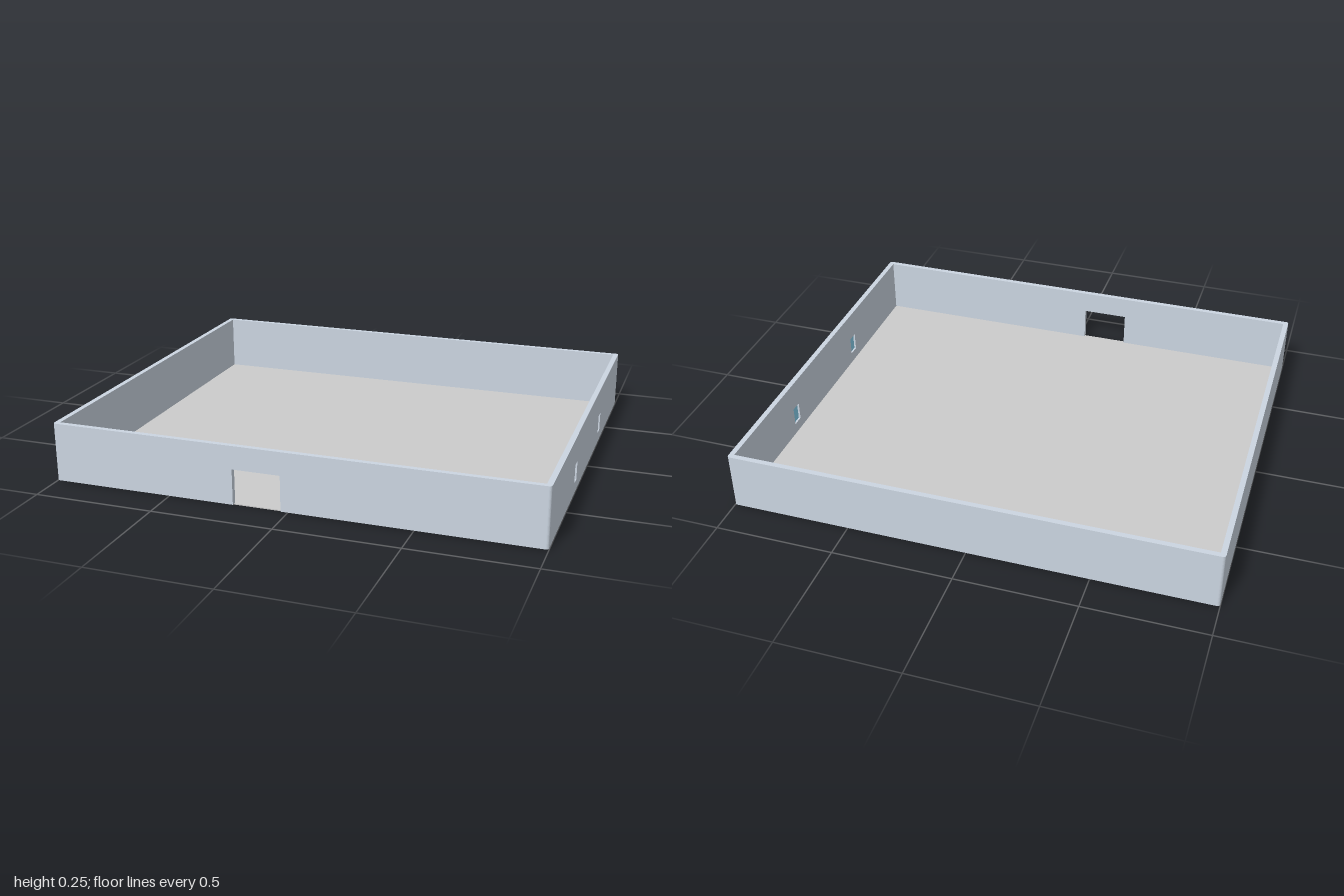
import * as THREE from 'three';

const W = 1, D = 0.85;          // outer half extents
const T = 0.022;                // wall thickness
const BASE = 0.003, TOP = 0.246; // wall bottom and top

const wallMat = new THREE.MeshStandardMaterial({ color: 0xcbd5e1 });
const floorMat = new THREE.MeshStandardMaterial({ color: 0xcccccc });
const glassMat = new THREE.MeshStandardMaterial({ color: 0x87ceeb });

function add(parent, name, geometry, material, x = 0, y = 0, z = 0) {
  const mesh = new THREE.Mesh(geometry, material);
  mesh.name = name;
  mesh.position.set(x, y, z);
  parent.add(mesh);
  return mesh;
}

// Upright wall panel centred on its thickness, with an optional doorway and window holes
function panel(length, door, windows = []) {
  const h = length / 2;
  const pts = [[-h, BASE]];
  if (door) pts.push([door.x0, BASE], [door.x0, door.top], [door.x1, door.top], [door.x1, BASE]);
  pts.push([h, BASE], [h, TOP], [-h, TOP]);
  const shape = new THREE.Shape(pts.map(p => new THREE.Vector2(...p)));
  for (const w of windows) {
    const a = w.x - w.w / 2, b = w.x + w.w / 2, c = w.y - w.h / 2, d = w.y + w.h / 2;
    shape.holes.push(new THREE.Path([[a, c], [a, d], [b, d], [b, c]].map(p => new THREE.Vector2(...p))));
  }
  return new THREE.ExtrudeGeometry(shape, { depth: T, bevelEnabled: false }).translate(0, 0, -T / 2);
}

// Square post with one rounded outer edge
function cornerPost() {
  const h = T / 2, r = 0.012;
  const s = new THREE.Shape();
  s.moveTo(-h, -h);
  s.lineTo(h, -h);
  s.lineTo(h, h - r);
  s.absarc(h - r, h - r, r, 0, Math.PI / 2, false);
  s.lineTo(-h, h);
  s.closePath();
  return new THREE.ExtrudeGeometry(s, { depth: TOP - BASE, bevelEnabled: false, curveSegments: 5 })
    .rotateX(-Math.PI / 2);
}

export function createModel() {
  const model = new THREE.Group();
  model.name = 'walledEnclosure';

  // Floor slab reaching to the middle of the walls
  add(model, 'floor', new THREE.BoxGeometry(2 * W - T, 0.004, 2 * D - T), floorMat, 0, 0.002, 0);

  // Walls
  const windows = [-0.302, 0.302].map(x => ({ x, y: 0.089, w: 0.05, h: 0.078 }));
  const lenX = 2 * (W - T), lenZ = 2 * (D - T);
  add(model, 'frontWall', panel(lenX, { x0: -0.225, x1: -0.027, top: 0.15 }), wallMat, 0, 0, D - T / 2);
  add(model, 'backWall', panel(lenX), wallMat, 0, 0, -D + T / 2);
  add(model, 'rightWall', panel(lenZ), wallMat, -W + T / 2, 0, 0).rotation.y = Math.PI / 2;
  add(model, 'leftWall', panel(lenZ, null, windows), wallMat, W - T / 2, 0, 0).rotation.y = Math.PI / 2;

  // Rounded corners
  const post = cornerPost();
  [[1, -1], [-1, -1], [-1, 1], [1, 1]].forEach(([sx, sz], k) => {
    add(model, 'cornerPost', post, wallMat, sx * (W - T / 2), BASE, sz * (D - T / 2)).rotation.y = k * Math.PI / 2;
  });

  // Glass panes in the middle of the window openings
  for (const w of windows) {
    add(model, 'windowPane', new THREE.BoxGeometry(0.005, w.h, w.w), glassMat, W - T / 2, w.y, w.x);
  }
  return model;
}
